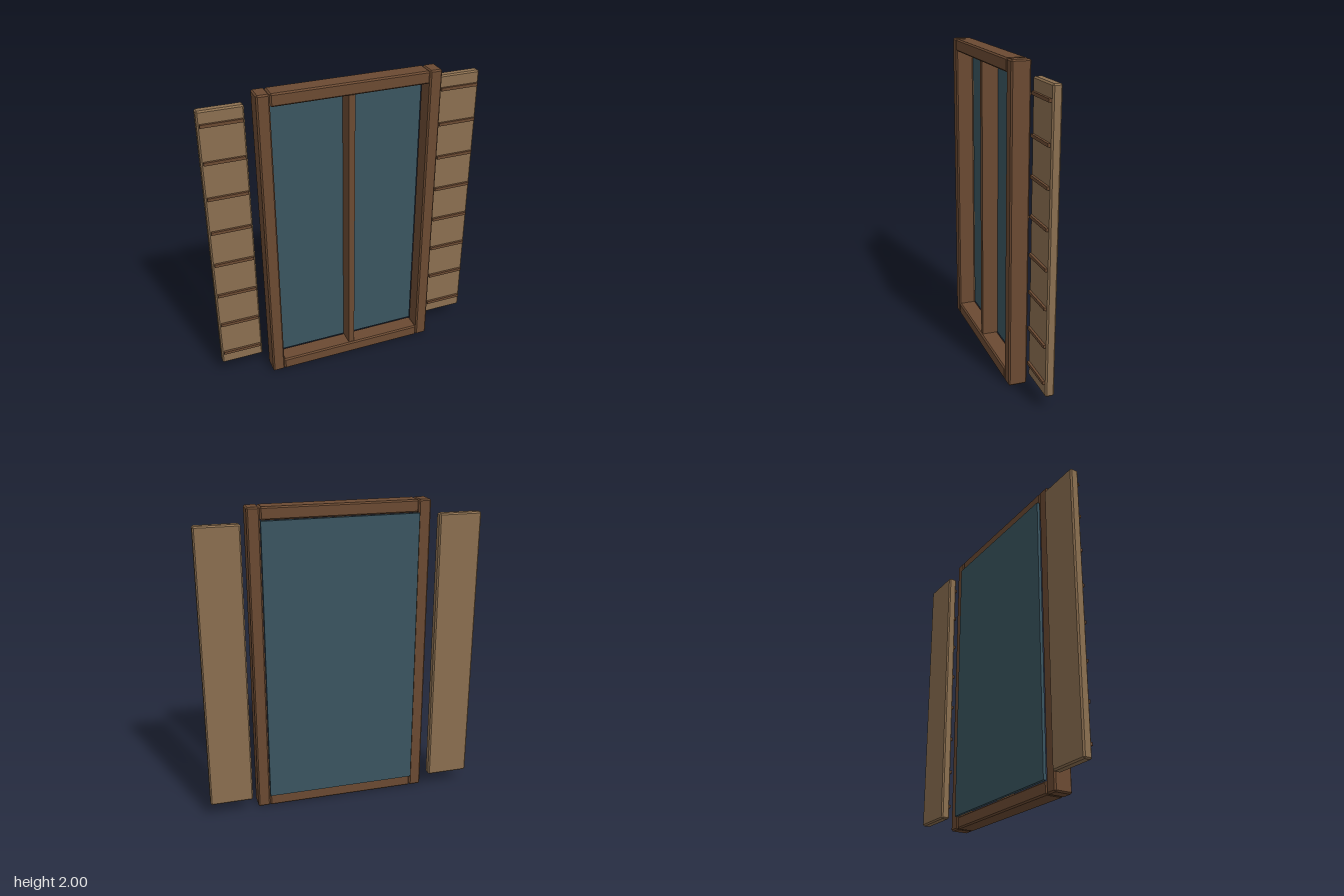
import * as THREE from 'three';
import { ConvexGeometry } from 'three/addons/geometries/ConvexGeometry.js';

const material = (color) => new THREE.MeshStandardMaterial({ color, flatShading: true });

// Box with a single chamfer c along every edge
function chamferBox(w, h, d, c) {
  const points = [];
  for (const x of [-1, 1]) for (const y of [-1, 1]) for (const z of [-1, 1]) {
    const X = x * w / 2, Y = y * h / 2, Z = z * d / 2;
    points.push(
      new THREE.Vector3(X, Y - y * c, Z - z * c),
      new THREE.Vector3(X - x * c, Y, Z - z * c),
      new THREE.Vector3(X - x * c, Y - y * c, Z));
  }
  return new ConvexGeometry(points);
}

export function createModel() {
  const model = new THREE.Group();
  model.name = 'shutteredWindow';
  const darkWood = material(0x6b4a32);
  const lightWood = material(0x8b6f50);
  const pane = material(0x3a5560);

  // Part spanning two opposite corners, chamfered when c > 0
  function part(parent, name, mat, [x0, y0, z0], [x1, y1, z1], c = 0) {
    const w = x1 - x0, h = y1 - y0, d = z1 - z0;
    const geometry = c ? chamferBox(w, h, d, c) : new THREE.BoxGeometry(w, h, d);
    const mesh = new THREE.Mesh(geometry, mat);
    mesh.name = name;
    mesh.position.set((x0 + x1) / 2, (y0 + y1) / 2, (z0 + z1) / 2);
    parent.add(mesh);
  }

  // Frame
  const frame = new THREE.Group();
  frame.name = 'frame';
  model.add(frame);
  part(frame, 'rightPost', darkWood, [-0.575, 0, -0.035], [-0.495, 2, 0.083], 0.009);
  part(frame, 'leftPost', darkWood, [0.495, 0, -0.035], [0.575, 2, 0.083], 0.009);
  part(frame, 'topRail', darkWood, [-0.495, 1.92, -0.035], [0.495, 2, 0.083], 0.009);
  part(frame, 'bottomRail', darkWood, [-0.495, 0, -0.035], [0.495, 0.08, 0.083], 0.009);

  // Glazing and centre bar
  part(model, 'glass', pane, [-0.495, 0.08, -0.053], [0.495, 1.92, -0.033]);
  part(model, 'mullion', darkWood, [-0.02, 0.08, -0.035], [0.02, 1.92, 0.07]);

  // Shutters with slats on the front
  for (const side of [-1, 1]) {
    const shutter = new THREE.Group();
    shutter.name = side < 0 ? 'rightShutter' : 'leftShutter';
    shutter.position.x = side * 0.756;
    model.add(shutter);
    part(shutter, 'panel', lightWood, [-0.139, 0.09, -0.083], [0.139, 1.915, -0.027], 0.009);
    for (let i = 0; i < 8; i++) {
      const y = 0.18 + i * 0.2353;
      part(shutter, 'slat', darkWood, [-0.125, y - 0.01, -0.03], [0.125, y + 0.01, -0.012]);
    }
  }
  return model;
}
